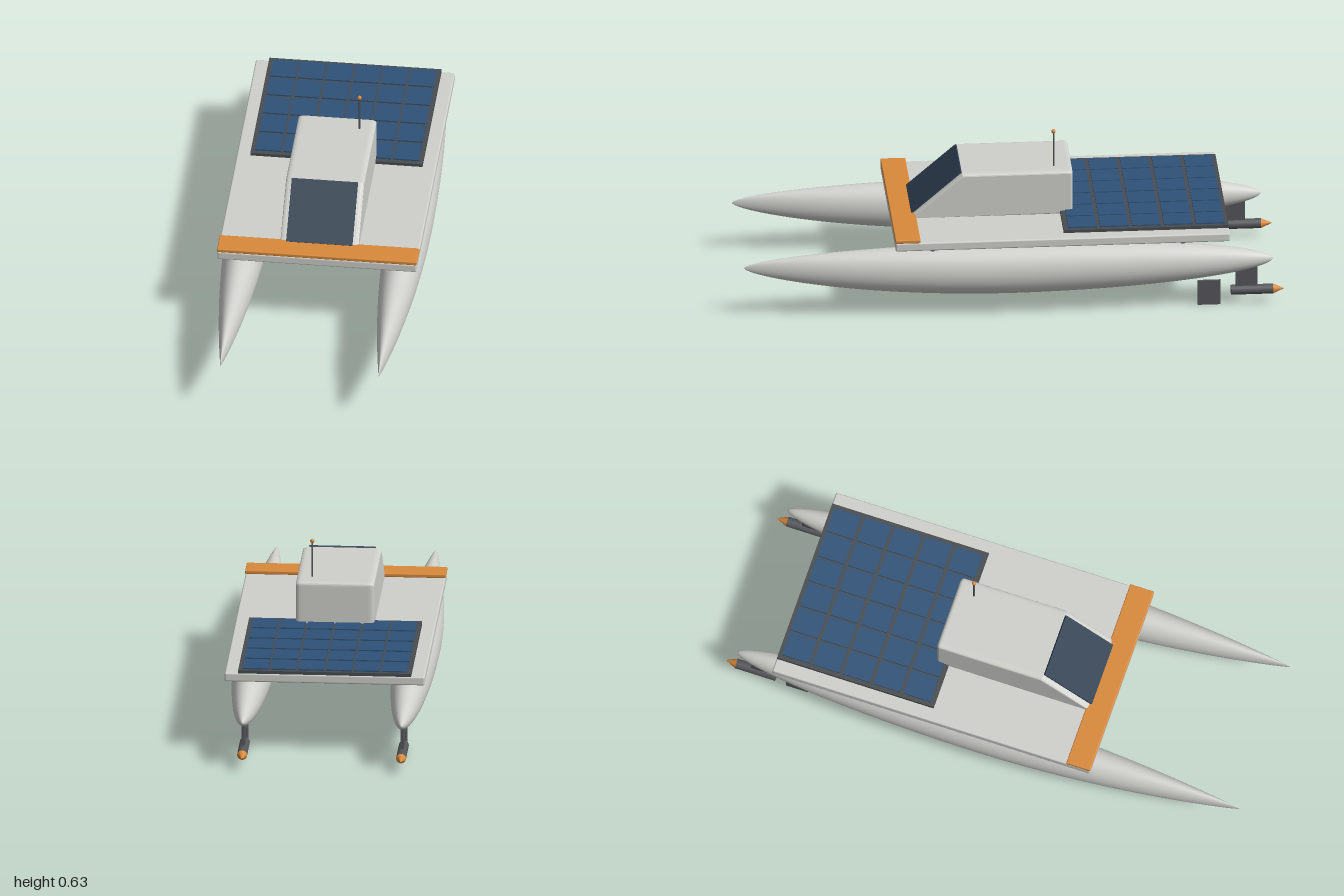
import * as THREE from 'three';
import { mergeVertices } from 'three/addons/utils/BufferGeometryUtils.js';
import { RoundedBoxGeometry } from 'three/addons/geometries/RoundedBoxGeometry.js';

const paint = (name, color) => {
  const m = new THREE.MeshStandardMaterial({ color });
  m.name = name;
  return m;
};

// Float with a fine bow, a fuller stern and elliptical cross-sections
function hullGeometry() {
  const g = new THREE.SphereGeometry(1, 36, 56).rotateX(Math.PI / 2);
  g.deleteAttribute('uv');
  g.deleteAttribute('normal');
  const p = g.attributes.position;
  for (let i = 0; i < p.count; i++) {
    const z = p.getZ(i), u = Math.min(1, Math.abs(z)), bow = z > 0;
    const r = Math.hypot(p.getX(i), p.getY(i)) || 1;
    const taper = Math.max(0, 1 - u * u);
    const w = 0.0825 * (bow ? Math.max(0, 1 - u ** 1.9) : taper ** 0.55);
    const h = 0.0975 * taper ** (bow ? 0.63 : 0.55);
    const rise = 0.1745 + (bow ? 0.03 * u * u : 0.004 * u);
    p.setXYZ(i, (p.getX(i) / r) * w, rise + (p.getY(i) / r) * h, z * (bow ? 1 : 0.957));
  }
  const merged = mergeVertices(g, 1e-5);
  merged.computeVertexNormals();
  return merged;
}

// Cabin side profile (z, y), extruded across the boat with softened edges
function cabinGeometry() {
  const s = new THREE.Shape();
  s.moveTo(-0.23, 0.312);
  s.lineTo(0.382, 0.312);
  s.lineTo(0.18, 0.487);
  s.lineTo(-0.215, 0.487);
  s.quadraticCurveTo(-0.23, 0.487, -0.23, 0.472);
  s.closePath();
  const g = new THREE.ExtrudeGeometry(s, {
    depth: 0.25, bevelEnabled: true, bevelThickness: 0.02, bevelSize: 0.01,
    bevelOffset: -0.01, bevelSegments: 4, curveSegments: 5,
  });
  return g.translate(0, 0, -0.125).rotateY(-Math.PI / 2);
}

export function createModel() {
  const model = new THREE.Group();
  const white = paint('hull white', 0xd0d0cc);
  const orange = paint('safety orange', 0xd98a3a);
  const dark = paint('dark metal', 0x55565a);
  const frameGrey = paint('panel frame grey', 0x484c50);
  const blue = paint('solar blue', 0x2f5278);
  const glass = paint('window navy', 0x2e3e50);

  const add = (name, geometry, material, x, y, z, parent = model) => {
    const m = new THREE.Mesh(geometry, material);
    m.name = name;
    m.position.set(x, y, z);
    parent.add(m);
    return m;
  };
  const box = (w, h, d) => new THREE.BoxGeometry(w, h, d);

  // Floats, each with a rudder and a thruster pod
  const hull = hullGeometry();
  for (const side of [-1, 1]) {
    const float = new THREE.Group();
    float.name = side > 0 ? 'leftFloat' : 'rightFloat';
    float.position.x = side * 0.294;
    model.add(float);
    add('hull', hull, white, 0, 0, 0, float);
    add('rudder', box(0.009, 0.097, 0.085), dark, 0, 0.0485, -0.722, float);
    add('thrusterStrut', box(0.012, 0.09, 0.08), dark, 0, 0.105, -0.86, float);
    add('thrusterPod', new THREE.CylinderGeometry(0.0185, 0.0185, 0.155, 20).rotateX(Math.PI / 2),
      dark, 0, 0.055, -0.88, float);
    add('thrusterCone', new THREE.ConeGeometry(0.0185, 0.042, 20).rotateX(-Math.PI / 2),
      orange, 0, 0.055, -0.979, float);
  }

  // Crossbeams and deck
  for (const z of [0.303, -0.622]) {
    add('crossbeam', new THREE.CylinderGeometry(0.015, 0.015, 0.658, 20).rotateZ(Math.PI / 2),
      dark, 0, 0.279, z);
  }
  add('deck', new RoundedBoxGeometry(0.74, 0.033, 1.237, 3, 0.006), white, 0, 0.301, -0.175);
  add('bowBand', new RoundedBoxGeometry(0.742, 0.015, 0.093, 3, 0.004), orange, 0, 0.324, 0.398);

  // Solar array: 6 columns by 5 rows
  const solar = new THREE.Group();
  solar.name = 'solarArray';
  model.add(solar);
  add('panelFrame', box(0.64, 0.012, 0.61), frameGrey, 0, 0.323, -0.487, solar);
  const cell = box(0.095, 0.006, 0.105);
  for (let c = 0; c < 6; c++) {
    for (let r = 0; r < 5; r++) {
      add('solarCell', cell, blue, (c - 2.5) * 0.1025, 0.331, -0.489 + (r - 2) * 0.118, solar);
    }
  }

  // Cabin and sloping windshield
  add('cabin', cabinGeometry(), white, 0, 0, 0);
  const shield = add('windshield', box(0.246, 0.009, 0.242), glass, 0, 0.409, 0.274);
  shield.rotation.x = Math.atan2(0.175, 0.202);

  // Antenna
  add('antennaMast', new THREE.CylinderGeometry(0.003, 0.003, 0.14, 10), dark, 0.088, 0.552, -0.162);
  add('antennaTip', new THREE.SphereGeometry(0.008, 16, 12), orange, 0.088, 0.626, -0.162);

  return model;
}
